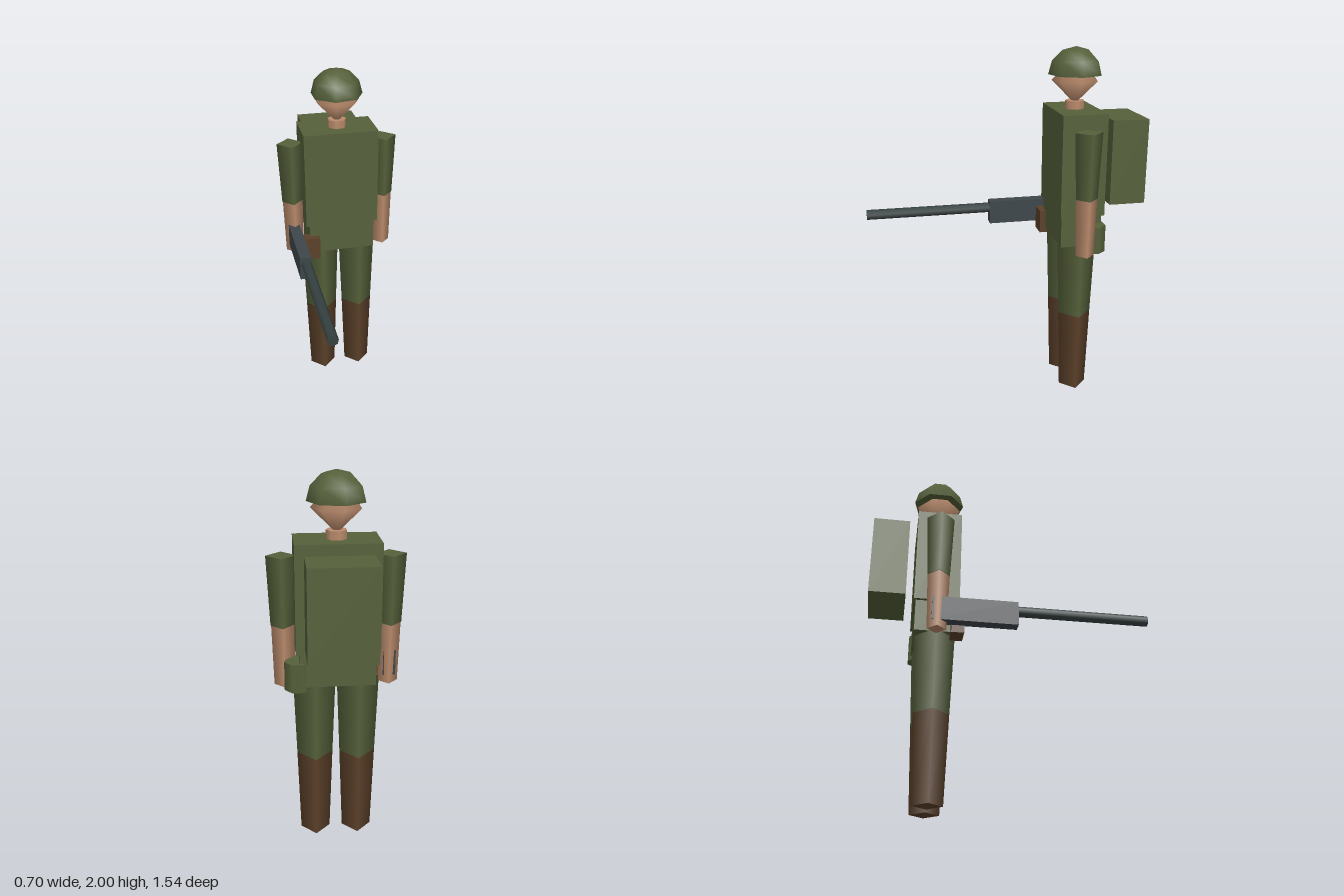
import * as THREE from 'three';

const paint = (name, color) => {
  const m = new THREE.MeshStandardMaterial({ color });
  m.name = name;
  return m;
};

export function createModel() {
  const root = new THREE.Group();
  root.name = 'soldier';
  const green = paint('olive cloth', 0x55603a);
  const skin = paint('skin', 0xb98a6b);
  const brown = paint('brown leather', 0x5b4029);
  const steel = paint('gun body steel', 0x3e464a);
  const dark = paint('barrel steel', 0x374141);
  const Z = -0.395; // depth of the body's centre line

  const add = (name, geometry, material, x, y, z) => {
    const mesh = new THREE.Mesh(geometry, material);
    mesh.name = name;
    mesh.position.set(x, y, z);
    root.add(mesh);
    return mesh;
  };
  // Box given by its min and max corners
  const box = (name, material, [x0, y0, z0], [x1, y1, z1]) =>
    add(name, new THREE.BoxGeometry(x1 - x0, y1 - y0, z1 - z0), material,
      (x0 + x1) / 2, (y0 + y1) / 2, (z0 + z1) / 2);
  // Upright tapered post between two heights
  const post = (name, material, x, z, y0, y1, r0, r1, sides) =>
    add(name, new THREE.CylinderGeometry(r1, r0, y1 - y0, sides), material, x, (y0 + y1) / 2, z);

  // Trunk and pack
  box('torso', green, [-0.215, 1.1, -0.52], [0.215, 1.665, -0.27]);
  box('hips', green, [-0.195, 0.92, -0.51], [0.195, 1.1, -0.28]);
  box('backpack', green, [-0.17, 1.145, -0.77], [0.17, 1.62, -0.565]);

  // Limbs: four-sided tapers with a corner facing forward
  for (const [side, s] of [['left', 1], ['right', -1]]) {
    post(side + 'Sleeve', green, s * 0.275, Z, 1.22, 1.585, 0.061, 0.077, 4);
    post(side + 'Forearm', skin, s * 0.272, Z, 0.895, 1.22, 0.052, 0.061, 4);
    post(side + 'Trouser', green, s * 0.115, Z, 0.48, 0.93, 0.096, 0.112, 4);
    post(side + 'Boot', brown, s * 0.115, Z, 0, 0.48, 0.08, 0.096, 4);
  }

  // Neck, head and helmet
  post('neck', skin, 0, Z, 1.66, 1.71, 0.054, 0.054, 7).rotation.y = Math.PI / 2;
  add('head', new THREE.SphereGeometry(0.13, 7, 2), skin, 0, 1.82, Z).rotation.y = Math.PI;
  add('helmet', new THREE.SphereGeometry(0.15, 7, 3, 0, Math.PI * 2, 0, Math.PI / 2),
    green, 0, 1.85, Z).rotation.y = Math.PI;
  add('helmetUnderside', new THREE.CircleGeometry(0.15, 7), green, 0, 1.85, Z).rotation.x = Math.PI / 2;

  // Belt gear
  box('pouch', brown, [-0.25, 0.895, -0.315], [-0.14, 1.03, -0.245]);
  post('canteen', green, 0.205, -0.46, 0.895, 1.05, 0.07, 0.07, 7);

  // Rifle held in the right hand
  box('rifleBody', steel, [-0.308, 0.937, -0.425], [-0.243, 1.073, 0.04]);
  add('rifleBarrel', new THREE.CylinderGeometry(0.03, 0.03, 0.73, 7), dark, -0.273, 1.03, 0.405)
    .rotation.x = Math.PI / 2;

  return root;
}
